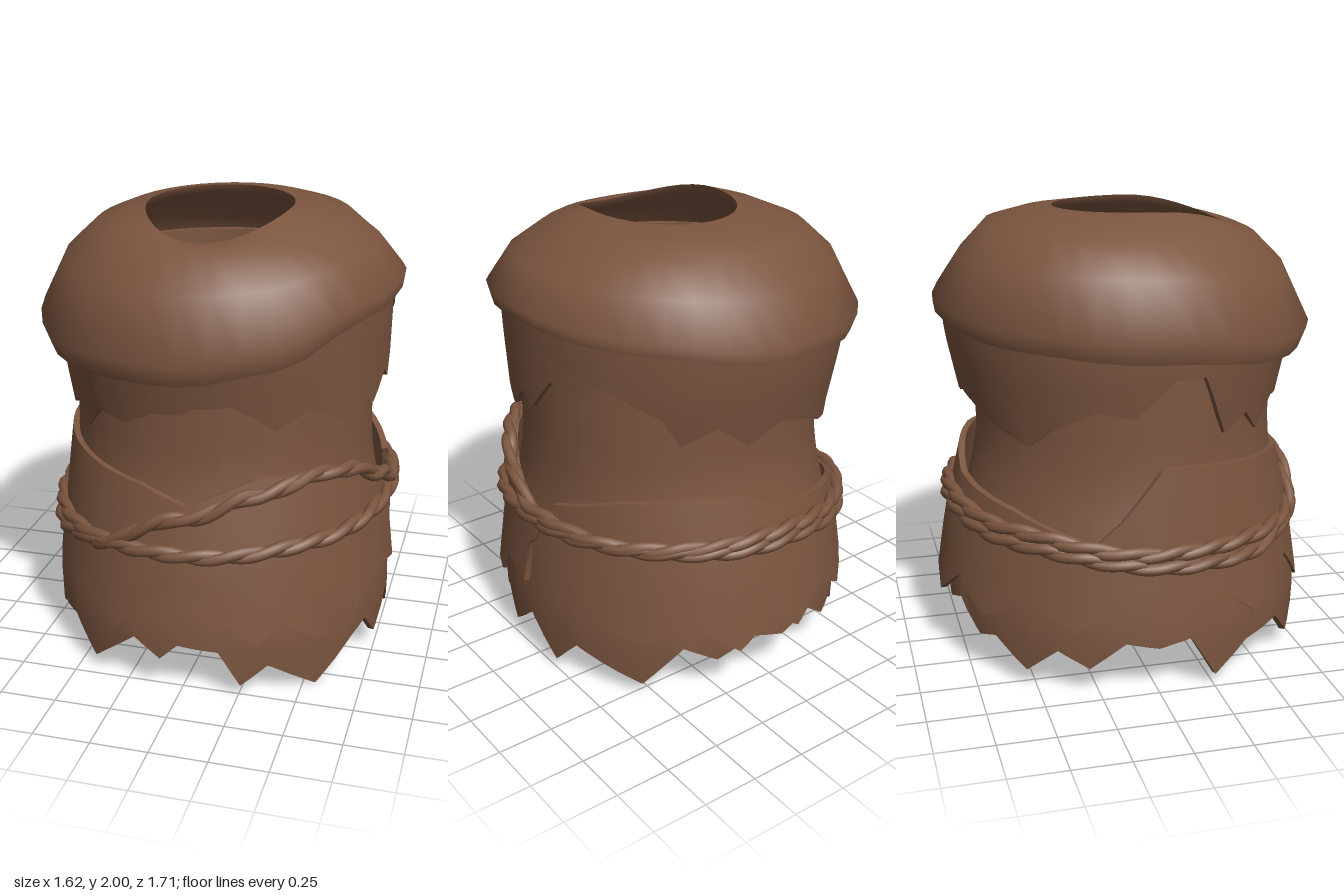
import * as THREE from 'three';
import { toCreasedNormals } from 'three/addons/utils/BufferGeometryUtils.js';

const RAD = Math.PI / 180;
const cloth = new THREE.MeshStandardMaterial({ color: 0x7b553f, side: THREE.DoubleSide });
cloth.name = 'brown cloth';

// Value at an angle (0 = front, 90 = +x) from [degrees, value] keys around the body.
function around(keys, deg, smooth = false) {
  if (typeof keys === 'number') return keys;
  const d = ((deg % 360) + 360) % 360;
  const n = keys.length;
  for (let i = 0; i < n; i++) {
    const [a, va] = keys[i];
    const b = i + 1 < n ? keys[i + 1][0] : keys[0][0] + 360;
    const vb = keys[(i + 1) % n][1];
    const e = d < a ? d + 360 : d;
    if (e >= a && e <= b) {
      let t = (e - a) / (b - a);
      if (smooth) t = t * t * (3 - 2 * t);
      return va + (vb - va) * t;
    }
  }
  return keys[0][1];
}

// Value at a height from [y, value] keys, highest first.
function atHeight(keys, y) {
  for (let i = 0; i + 1 < keys.length; i++) {
    const [a, va] = keys[i], [b, vb] = keys[i + 1];
    if (y >= b || i + 2 === keys.length) {
      return va + (vb - va) * THREE.MathUtils.clamp((a - y) / (a - b), 0, 1);
    }
  }
}

// Surface through closed cross-section loops placed around the body.
function skin(name, loops, closed) {
  const m = loops[0].length, n = loops.length, index = [];
  for (let i = 0; i < (closed ? n : n - 1); i++) {
    for (let j = 0; j < m; j++) {
      const k = (i + 1) % n, l = (j + 1) % m;
      const a = i * m + j, b = k * m + j, c = k * m + l, d = i * m + l;
      index.push(a, d, c, a, c, b);
    }
  }
  const g = new THREE.BufferGeometry();
  g.setAttribute('position', new THREE.Float32BufferAttribute(loops.flat(2), 3));
  g.setIndex(index);
  const mesh = new THREE.Mesh(toCreasedNormals(g, 1.05), cloth);
  mesh.name = name;
  return mesh;
}

// Thick sheet of cloth between a top and a bottom edge.
function sheet(name, { top, bottom, rx, rz, dx = 0, dz = 0, inset = 0, from = 0, to = 360, thick = 0.028, rows = 6 }) {
  const degs = [];
  for (let d = from; d < to; d += 6) degs.push(d);
  for (const keys of [top, bottom]) {
    if (typeof keys === 'number') continue;
    for (const [k] of keys) for (const d of [k - 360, k, k + 360]) if (d > from && d < to) degs.push(d);
  }
  const closed = to - from === 360;
  if (!closed) degs.push(to);
  degs.sort((a, b) => a - b);
  const loops = degs.filter((d, i) => i === 0 || d > degs[i - 1]).map((deg) => {
    const s = Math.sin(deg * RAD), c = Math.cos(deg * RAD);
    const t = around(top, deg), b = Math.min(around(bottom, deg), t - 0.01);
    const outer = [], inner = [];
    for (let j = 0; j <= rows; j++) {
      const y = t + (b - t) * j / rows;
      const x = atHeight(rx, y) - inset, z = atHeight(rz, y) - inset;
      outer.push([x * s + dx, y, z * c + dz]);
      inner.unshift([(x - thick) * s + dx, y, (z - thick) * c + dz]);
    }
    return [...outer, ...inner];
  });
  return skin(name, loops, closed);
}

// Domed collar with an off-centre neck opening and a slanting rim.
function collar() {
  const rim = [[0, 1.41], [30, 1.47], [60, 1.61], [90, 1.655], [135, 1.63], [180, 1.56], [225, 1.5], [270, 1.46], [315, 1.4]];
  const loops = [];
  for (let deg = 0; deg < 360; deg += 10) {
    const s = Math.sin(deg * RAD), c = Math.cos(deg * RAD);
    const low = around(rim, deg, true), front = Math.max(0, c), droop = Math.max(front, -s);
    const sx = s > 0 ? 0.787 : 0.818, sz = c > 0 ? 0.858 : 0.825;
    const hx = 0.315 * s, hz = 0.1 + 0.39 * c, hy = 2 - 0.09 * front * front;
    const at = (f, y) => [sx * f * s, y, sz * f * c];
    const shoulder = 1.91 - 0.03 * c + 0.01 * s;
    const wide = low + 0.05 + 0.045 * droop;
    const mid = (wide + shoulder) / 2 + 0.02 + 0.04 * droop;
    const tuck = 0.99 - 0.035 * droop;
    const m = at(0.71, shoulder);
    loops.push([
      [hx, hy, hz],
      [(hx + m[0]) / 2, (hy + m[1]) / 2 + 0.012, (hz + m[2]) / 2],
      m, at(0.86, mid), at(1, wide), at(tuck, low),
      at(tuck - 0.04, low + 0.005), at(0.95, wide), at(0.82, mid - 0.03), at(0.68, shoulder - 0.04),
      [hx * 1.04, hy - 0.035, 0.1 + (hz - 0.1) * 1.04],
    ]);
  }
  return skin('collar', loops, true);
}

const skirtX = [[1, 0.715], [0.6, 0.76], [0.28, 0.8], [0, 0.79]];
const skirtZ = [[1, 0.71], [0.6, 0.805], [0.28, 0.855], [0, 0.83]];
const skirtShift = 0.012;

// Two loosely twisted strands in one loop at the waist.
function rope(name, keys, twists) {
  const group = new THREE.Group();
  group.name = name;
  for (let k = 0; k < 2; k++) {
    const pts = [], n = twists * 12;
    for (let i = 0; i < n; i++) {
      const deg = i * 360 / n, a = i / 12 * Math.PI * 2 + k * Math.PI;
      const y = around(keys, deg, true), out = 0.012 + 0.012 * Math.cos(a);
      pts.push(new THREE.Vector3(
        (atHeight(skirtX, y) + out) * Math.sin(deg * RAD) + skirtShift,
        y + 0.012 * Math.sin(a),
        (atHeight(skirtZ, y) + out) * Math.cos(deg * RAD)));
    }
    const curve = new THREE.CatmullRomCurve3(pts, true);
    const strand = new THREE.Mesh(new THREE.TubeGeometry(curve, n * 2, 0.025, 8, true), cloth);
    strand.name = 'ropeStrand';
    group.add(strand);
  }
  return group;
}

export function createModel() {
  const model = new THREE.Group();
  model.name = 'raggedRobe';
  model.add(collar());

  // Long tunic that flares into a torn hem
  model.add(sheet('tunic', {
    top: 1.72,
    bottom: [[0, 0.25], [13, 0.23], [20, 0.06], [29, 0.15], [46, 0], [61, 0.15], [69, 0.2], [77, 0.08], [90, 0.22],
      [102, 0.05], [111, 0.18], [123, 0.12], [134, 0.06], [147, 0.26], [158, 0.19], [170, 0.28], [182, 0.23], [194, 0.29],
      [206, 0.17], [214, 0.2], [226, 0.08], [237, 0.2], [247, 0.13], [258, 0.25], [268, 0.22], [278, 0.25], [287, 0.05],
      [299, 0.17], [315, 0.2], [327, 0.06], [345, 0.25], [354, 0.17]],
    rx: [[1.72, 0.665], [1, 0.668], [0.85, 0.68], [0.6, 0.733], [0.28, 0.773], [0, 0.768]],
    rz: [[1.72, 0.668], [1, 0.668], [0.85, 0.695], [0.6, 0.76], [0.28, 0.818], [0, 0.806]],
    dz: 0.02, rows: 18,
  }));

  // Torn shoulder capes
  const capeX = [[1.6, 0.745], [1.4, 0.735], [1.1, 0.69]];
  const capeZ = [[1.6, 0.79], [1.45, 0.775], [1.1, 0.7]];
  model.add(sheet('shoulderCape', {
    top: [[0, 1.5], [45, 1.62], [90, 1.7], [180, 1.62], [270, 1.56], [315, 1.5]],
    bottom: [[0, 1.26], [16, 1.39], [28, 1.41], [46, 1.57], [52, 1.61], [67, 1.6], [79, 1.65], [90, 1.6], [109, 1.47],
      [121, 1.45], [140, 1.33], [146, 1.2], [158, 1.28], [170, 1.17], [182, 1.25], [196, 1.2], [210, 1.12], [224, 1.07],
      [236, 1.17], [250, 1.25], [262, 1.22], [275, 1.38], [285, 1.38], [296, 1.11], [306, 1.18], [315, 1.08], [325, 1.2],
      [338, 1.18], [350, 1.25]],
    rx: capeX, rz: capeZ,
  }));
  model.add(sheet('underCape', {
    top: 1.63, from: -12, to: 150, inset: 0.012,
    bottom: [[0, 1.28], [16, 1.3], [24, 1.24], [30, 1.18], [42, 1.26], [55, 1.18], [65, 1.24], [74, 1.19], [84, 1.3],
      [90, 1.25], [101, 1.41], [112, 1.39], [125, 1.48], [150, 1.5], [348, 1.28]],
    rx: [[1.6, 0.75], [1.1, 0.74]], rz: capeZ,
  }));

  // Shorter skirt wrap with a slit on the left side
  model.add(sheet('skirtWrap', {
    from: 101, to: 453,
    top: [[0, 0.86], [24, 0.98], [55, 0.97], [75, 0.85], [93, 0.75], [101, 0.84], [127, 0.93], [155, 0.96],
      [170, 0.94], [188, 0.85], [220, 0.79], [250, 0.68], [258, 0.78], [272, 1], [285, 0.99], [344, 0.92]],
    bottom: [[0, 0.51], [24, 0.27], [32, 0.35], [54, 0.17], [61, 0.33], [76, 0.43], [88, 0.39], [88.5, 0.58], [92, 0.63],
      [93, 0.71], [101, 0.82], [105, 0.6], [119, 0.37], [135, 0.31], [150, 0.4], [164, 0.26], [174, 0.38], [186, 0.29],
      [199, 0.42], [214, 0.3], [230, 0.42], [245, 0.3], [258, 0.42], [270, 0.36], [280, 0.38], [290, 0.43], [302, 0.3],
      [324, 0.46], [338, 0.28], [358, 0.53]],
    rx: skirtX, rz: skirtZ, dx: skirtShift,
  }));

  // Rope wound twice around the waist
  model.add(rope('lowerRope', [[0, 0.66], [45, 0.69], [90, 0.735], [180, 0.76], [225, 0.71], [270, 0.64], [315, 0.64]], 14));
  model.add(rope('upperRope', [[0, 0.81], [22, 0.91], [45, 0.97], [60, 0.95], [76, 0.86], [92, 0.77], [135, 0.74],
    [180, 0.72], [225, 0.66], [280, 0.58], [300, 0.57], [325, 0.62]], 14));
  return model;
}
